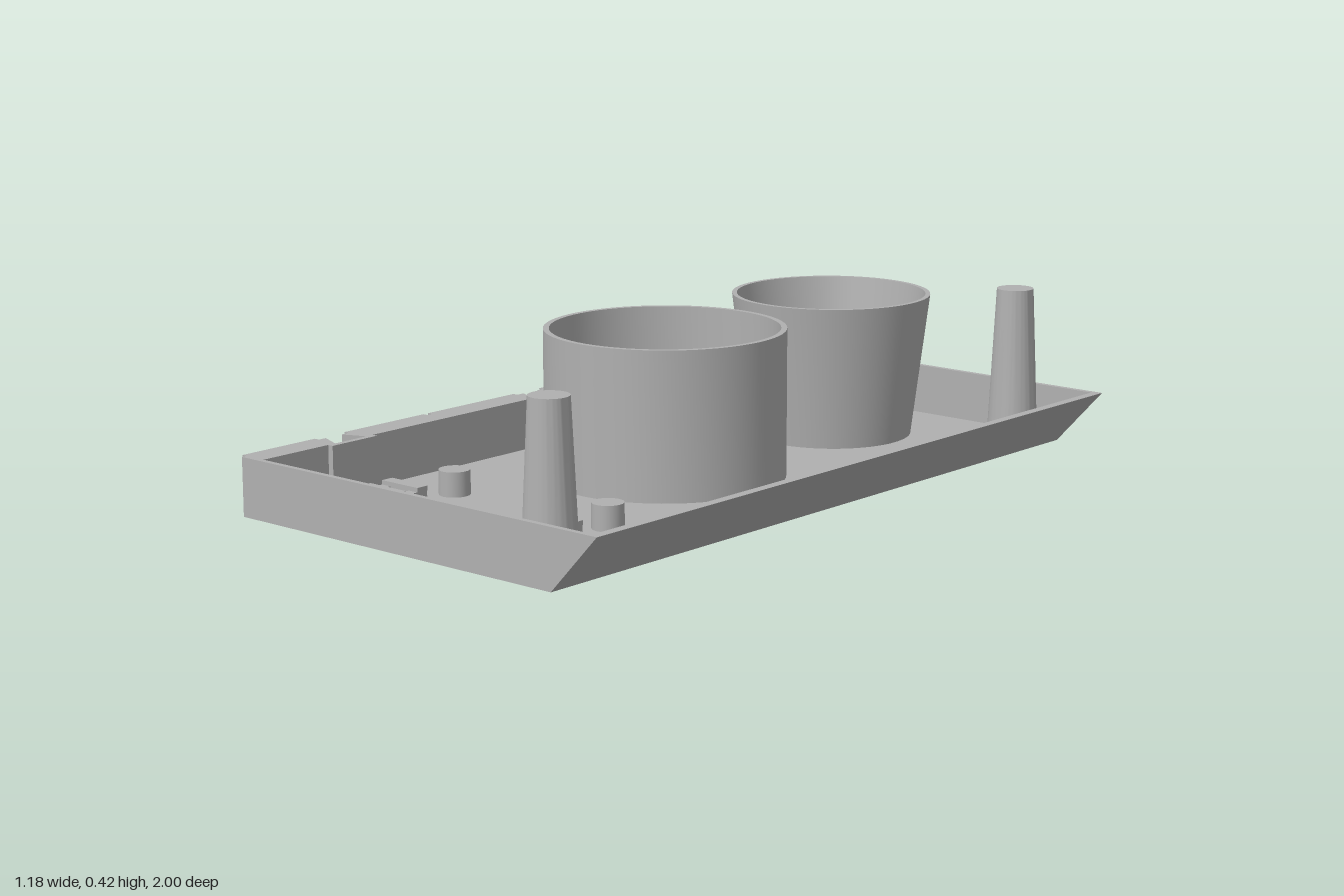
import * as THREE from 'three';
import { toCreasedNormals } from 'three/addons/utils/BufferGeometryUtils.js';

const FLOOR = 0.016, TOP = 0.15, END = 0.985;

export function createModel() {
  const model = new THREE.Group();
  model.name = 'holderTray';
  const grey = new THREE.MeshStandardMaterial({ color: 0xb0b0b0 });
  grey.name = 'grey plastic';

  const add = (name, geometry, x = 0, y = 0, z = 0) => {
    const mesh = new THREE.Mesh(geometry, grey);
    mesh.name = name;
    mesh.position.set(x, y, z);
    model.add(mesh);
    return mesh;
  };
  const polygon = (pts) => new THREE.Shape(pts.map(([a, b]) => new THREE.Vector2(a, b)));
  const extrude = (shape, depth) =>
    new THREE.ExtrudeGeometry(shape, { depth, bevelEnabled: false, curveSegments: 32 });
  // Side profile (x, y) run along z from z0 to z1
  const alongZ = (name, pts, z0, z1) => add(name, extrude(polygon(pts), z1 - z0), 0, 0, z0);
  // Plan shape (x, -z) raised from y0 to y1
  const upright = (name, shape, y0, y1) =>
    add(name, extrude(shape, y1 - y0).rotateX(-Math.PI / 2), 0, y0, 0);
  const plan = (pts) => polygon(pts.map(([x, z]) => [x, -z]));
  const turned = (name, pts, x, z) => add(name, toCreasedNormals(
    new THREE.LatheGeometry(pts.map(([r, y]) => new THREE.Vector2(r, y)), 64), 0.6), x, 0, z);

  const pegs = [[0.36, -0.915], [0.36, 0.905]];

  // Floor, open beneath the hollow pegs
  const floor = plan([[-0.58, END], [0.44, END], [0.44, -END], [-0.58, -END]]);
  for (const [x, z] of pegs) {
    floor.holes.push(new THREE.Path().absarc(x, -z, 0.053, 0, Math.PI * 2, true));
  }
  upright('floor', floor, 0, FLOOR);

  // End walls and the slanted side wall
  const endProfile = [[-0.58, 0], [0.45, 0], [0.59, TOP], [-0.58, TOP]];
  alongZ('frontWall', endProfile, END, 1);
  alongZ('backWall', endProfile, -1, -END);
  alongZ('slantedWall',
    [[0.44, 0], [0.45, 0], [0.59, TOP], [0.565, TOP], [0.44, FLOOR]], -END, END);

  // Thick side wall divided by dovetail slots
  const slots = [-0.71, -0.01, 0.70];
  for (let i = 0; i <= slots.length; i++) {
    const a = i ? slots[i - 1] : null, b = i < slots.length ? slots[i] : null;
    const a0 = a === null ? -END : a + 0.027, a1 = a === null ? -END : a + 0.052;
    const b0 = b === null ? END : b - 0.027, b1 = b === null ? END : b - 0.052;
    upright('slottedWall', plan([[-0.58, b0], [-0.518, b1], [-0.518, a1], [-0.58, a0]]), FLOOR, TOP);
  }
  for (const z of slots) {
    add('slotBacking', new THREE.BoxGeometry(0.016, TOP - FLOOR, 0.15), -0.51, (TOP + FLOOR) / 2, z);
  }

  // Grooved outer rails, interrupted at each slot and at two narrow joints
  const rail = [[-0.58, 0.02], [-0.58, TOP], [-0.595, TOP], [-0.595, 0.09],
    [-0.583, 0.07], [-0.595, 0.05], [-0.595, 0.02]];
  const breaks = [[-0.71, 0.05], [-0.38, 0.008], [-0.01, 0.05], [0.365, 0.008], [0.70, 0.05]];
  let start = -END;
  for (const [z, half] of [...breaks, [END, 0]]) {
    alongZ('outerRail', rail, start, z - half);
    start = z + half;
  }

  // Round and tapered holders
  turned('roundHolder', [[0.31, FLOOR], [0.31, 0.4], [0.295, 0.4], [0.295, FLOOR]], -0.05, 0.045);
  turned('taperedHolder', [[0.22, FLOOR], [0.268, 0.4], [0.255, 0.4], [0.205, FLOOR]], -0.045, -0.63);

  // Tapered pegs, hollow from below
  for (const [x, z] of pegs) {
    turned('peg', [[0.053, 0], [0.068, FLOOR], [0.049, 0.42], [0, 0.42]], x, z);
    turned('pegHollow', [[0, 0.4], [0.036, 0.4], [0.053, 0]], x, z);
  }

  // Small studs and slotted brackets
  for (const x of [-0.31, 0.207]) {
    add('stud', new THREE.CylinderGeometry(0.04, 0.04, 0.064, 32), x, 0.048, 0.545);
    const bracket = plan([[x - 0.062, 0.806], [x + 0.062, 0.806], [x + 0.062, 0.7], [x - 0.062, 0.7]]);
    bracket.holes.push(plan([[x - 0.033, 0.772], [x - 0.033, 0.732], [x + 0.033, 0.732], [x + 0.033, 0.772]]));
    upright('bracket', bracket, FLOOR, 0.065);
    for (const z of [0.716, 0.789]) {
      add('bracketRidge', new THREE.BoxGeometry(0.124, 0.012, 0.034), x, 0.07, z);
    }
    add('bracketPin', new THREE.CylinderGeometry(0.018, 0.018, 0.02, 24), x, 0.026, 0.752);
  }
  return model;
}
